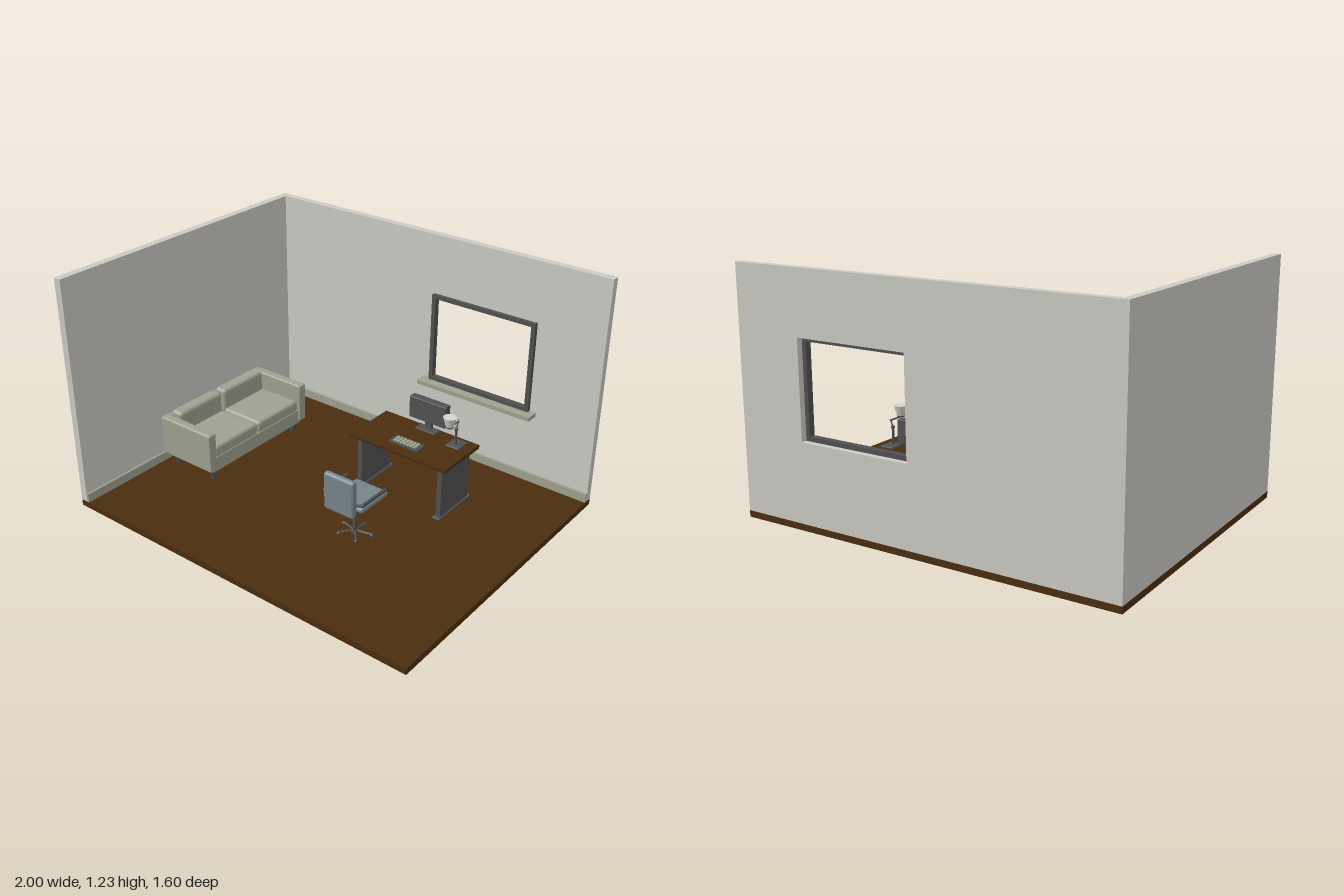
import * as THREE from 'three';
import { RoundedBoxGeometry } from 'three/addons/geometries/RoundedBoxGeometry.js';

const mat = (name, color) => {
  const m = new THREE.MeshStandardMaterial({ color });
  m.name = name;
  return m;
};

export function createModel() {
  const wallPaint = mat('wallPaint', 0xcbcac3);
  const wood = mat('wood', 0x4b2d0f);
  const fabric = mat('fabric', 0x9fa190);
  const darkGrey = mat('darkGrey', 0x505052);
  const chairFabric = mat('chairFabric', 0x76838b);
  const lampWhite = mat('lampWhite', 0xd6d4cb);
  lampWhite.side = THREE.DoubleSide;

  const room = new THREE.Group();
  room.name = 'officeRoom';
  const group = (name) => {
    const g = new THREE.Group();
    g.name = name;
    room.add(g);
    return g;
  };
  const add = (parent, name, geo, material, x = 0, y = 0, z = 0) => {
    const m = new THREE.Mesh(geo, material);
    m.name = name;
    m.position.set(x, y, z);
    parent.add(m);
    return m;
  };
  // Boxes are given by their ranges [min, max]; r > 0 rounds the edges.
  const box = (parent, name, material, [x0, x1], [y0, y1], [z0, z1], r = 0) => {
    const s = [x1 - x0, y1 - y0, z1 - z0];
    const geo = r ? new RoundedBoxGeometry(...s, 3, r) : new THREE.BoxGeometry(...s);
    return add(parent, name, geo, material, (x0 + x1) / 2, (y0 + y1) / 2, (z0 + z1) / 2);
  };
  // Round rod between two points
  const rod = (parent, name, material, a, b, r) => {
    const p = new THREE.Vector3(...a), q = new THREE.Vector3(...b);
    const m = add(parent, name, new THREE.CylinderGeometry(r, r, p.distanceTo(q), 12), material);
    m.position.copy(p).add(q).multiplyScalar(0.5);
    m.quaternion.setFromUnitVectors(new THREE.Vector3(0, 1, 0), q.sub(p).normalize());
    return m;
  };
  // Rectangular frame or wall with a rectangular opening, facing +z
  const rect = (T, x0, x1, y0, y1) => new T([[x0, y0], [x1, y0], [x1, y1], [x0, y1]].map((p) => new THREE.Vector2(...p)));
  const holed = (outer, inner, depth) => {
    const s = rect(THREE.Shape, ...outer);
    s.holes.push(rect(THREE.Path, ...inner));
    return new THREE.ExtrudeGeometry(s, { depth, bevelEnabled: false });
  };

  // Floor, walls and skirting
  const shell = group('shell');
  box(shell, 'floor', wood, [-1, 1], [0, 0.033], [-0.8, 0.8]);
  const opening = [0.04, 0.64, 0.43, 0.915];
  add(shell, 'backWall', holed([-1, 1, 0.033, 1.23], opening, 0.04), wallPaint, 0, 0, -0.8);
  box(shell, 'sideWall', wallPaint, [-1, -0.96], [0.033, 1.23], [-0.76, 0.8]);
  box(shell, 'backSkirting', fabric, [-0.96, 1], [0.033, 0.08], [-0.76, -0.748]);
  box(shell, 'sideSkirting', fabric, [-0.96, -0.948], [0.033, 0.08], [-0.76, 0.8]);

  // Window
  const win = group('window');
  add(win, 'windowFrame', holed(opening, [0.062, 0.618, 0.452, 0.895], 0.032), darkGrey, 0, 0, -0.77);
  box(win, 'windowSill', fabric, [0, 0.675], [0.41, 0.432], [-0.76, -0.69]);

  // Sofa
  const sofa = group('sofa');
  box(sofa, 'sofaBase', fabric, [-0.915, -0.59], [0.085, 0.17], [-0.42, 0.27], 0.008);
  box(sofa, 'sofaBack', fabric, [-0.922, -0.885], [0.1, 0.318], [-0.42, 0.27], 0.01);
  for (const [z0, z1] of [[-0.452, -0.402], [0.252, 0.302]]) {
    box(sofa, 'sofaArm', fabric, [-0.925, -0.575], [0.103, 0.32], [z0, z1], 0.01);
  }
  for (const [z0, z1] of [[-0.398, -0.079], [-0.071, 0.248]]) {
    box(sofa, 'seatCushion', fabric, [-0.845, -0.585], [0.168, 0.232], [z0, z1], 0.018);
    box(sofa, 'backCushion', fabric, [-0.912, -0.835], [0.2, 0.338], [z0 + 0.006, z1 - 0.006], 0.02);
  }
  for (const x of [-0.875, -0.62]) {
    for (const z of [-0.39, 0.24]) {
      add(sofa, 'sofaLeg', new THREE.CylinderGeometry(0.024, 0.014, 0.057, 16), darkGrey, x, 0.0615, z);
    }
  }

  // Desk
  const desk = group('desk');
  box(desk, 'deskTop', wood, [-0.028, 0.54], [0.316, 0.335], [-0.457, -0.148]);
  for (const x of [0.015, 0.497]) {
    box(desk, 'deskSide', darkGrey, [x - 0.013, x + 0.013], [0.042, 0.316], [-0.42, -0.175]);
    box(desk, 'deskFoot', darkGrey, [x - 0.022, x + 0.022], [0.033, 0.044], [-0.445, -0.155], 0.004);
  }
  box(desk, 'modestyPanel', darkGrey, [0.028, 0.484], [0.14, 0.265], [-0.43, -0.42]);

  // Monitor
  const monitor = group('monitor');
  box(monitor, 'monitorBody', darkGrey, [0.145, 0.363], [0.382, 0.5], [-0.455, -0.412], 0.004);
  box(monitor, 'monitorNeck', darkGrey, [0.235, 0.273], [0.338, 0.4], [-0.443, -0.425]);
  box(monitor, 'monitorFoot', darkGrey, [0.195, 0.313], [0.335, 0.342], [-0.452, -0.395], 0.003);

  // Keyboard
  const keyboard = group('keyboard');
  box(keyboard, 'keyboardBody', darkGrey, [0.17, 0.342], [0.335, 0.344], [-0.275, -0.205]);
  for (let row = 0; row < 3; row++) {
    for (let i = 0; i < 7; i++) {
      const x = 0.188 + i * 0.0195, z = -0.265 + row * 0.018;
      box(keyboard, 'key', fabric, [x, x + 0.015], [0.344, 0.349], [z, z + 0.014]);
    }
  }

  // Desk lamp
  const lamp = group('deskLamp');
  box(lamp, 'lampBase', darkGrey, [0.414, 0.49], [0.335, 0.345], [-0.43, -0.342], 0.004);
  rod(lamp, 'lampPost', darkGrey, [0.452, 0.34, -0.376], [0.452, 0.435, -0.376], 0.006);
  add(lamp, 'lampJoint', new THREE.SphereGeometry(0.01, 16, 12), darkGrey, 0.452, 0.43, -0.376);
  rod(lamp, 'lampStem', darkGrey, [0.452, 0.43, -0.376], [0.452, 0.467, -0.39], 0.003);
  rod(lamp, 'lampArm', darkGrey, [0.452, 0.467, -0.395], [0.452, 0.467, -0.3], 0.004);
  add(lamp, 'shadeHolder', new THREE.CylinderGeometry(0.02, 0.02, 0.006, 20), darkGrey, 0.452, 0.471, -0.313);
  add(lamp, 'lampShade', new THREE.CylinderGeometry(0.034, 0.02, 0.05, 24), lampWhite, 0.452, 0.499, -0.313);

  // Swivel chair
  const chair = group('chair');
  const cx = 0.256, cz = 0.178;
  box(chair, 'chairSeat', chairFabric, [0.16, 0.353], [0.214, 0.244], [0.042, 0.25], 0.013);
  box(chair, 'chairBackrest', chairFabric, [0.168, 0.345], [0.21, 0.41], [0.275, 0.31], 0.015);
  box(chair, 'seatPlate', darkGrey, [0.2, 0.312], [0.197, 0.216], [0.105, 0.24]);
  rod(chair, 'backSupport', darkGrey, [cx, 0.205, 0.23], [cx, 0.25, 0.283], 0.01);
  for (const s of [-1, 1]) {
    const x = cx + s * 0.112;
    box(chair, 'armrest', darkGrey, [x - 0.008, x + 0.008], [0.273, 0.289], [0.09, 0.275], 0.005);
    rod(chair, 'armrestLink', darkGrey, [x, 0.28, 0.265], [cx + s * 0.08, 0.28, 0.29], 0.006);
  }
  rod(chair, 'chairPost', darkGrey, [cx, 0.045, cz], [cx, 0.2, cz], 0.012);
  add(chair, 'baseHub', new THREE.CylinderGeometry(0.02, 0.022, 0.014, 20), darkGrey, cx, 0.05, cz);
  for (let i = 0; i < 5; i++) {
    const a = Math.PI / 2 + (i * Math.PI * 2) / 5;
    const x = cx + Math.cos(a) * 0.09, z = cz - Math.sin(a) * 0.075;
    rod(chair, 'baseSpoke', darkGrey, [cx, 0.051, cz], [x, 0.048, z], 0.006);
    add(chair, 'caster', new THREE.SphereGeometry(0.01, 12, 8), darkGrey, x, 0.042, z);
  }
  return room;
}
